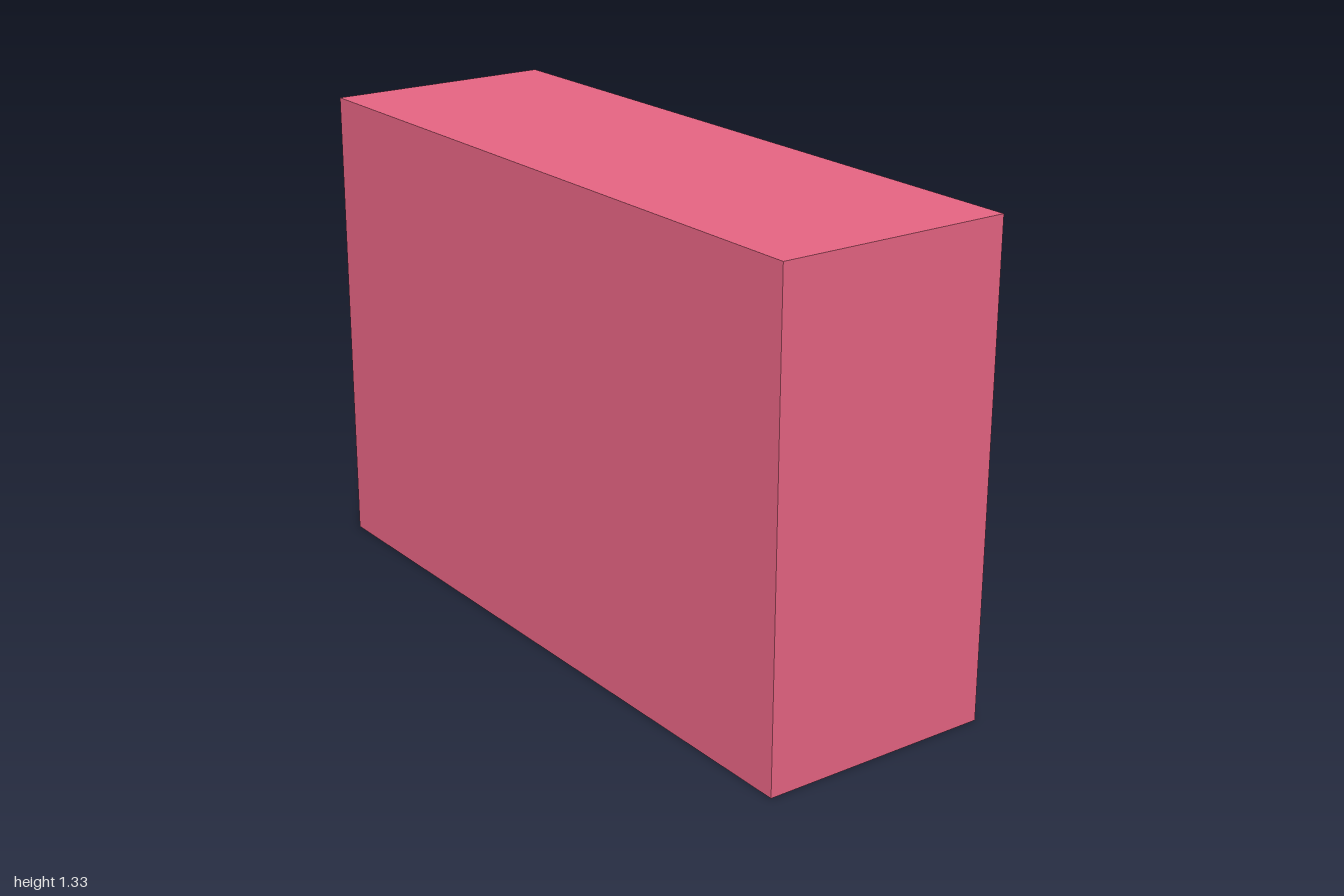
import * as THREE from 'three';

const H = 1.333, BACK = -0.335, CORE = 0.303, RECESS = 0.309, FACE = 0.33, FRONT = 0.335;
const WIN_W = 0.445, WIN_H = 0.3, FLOOR = H / 4;
const DOOR_W = 0.35, DOOR_H = 0.282;

const material = (color) => new THREE.MeshStandardMaterial({ color, flatShading: true });

// Rectangle outline, centred on u, standing on y
function rect(target, u, y, w, h) {
  target.moveTo(u - w / 2, y);
  target.lineTo(u + w / 2, y);
  target.lineTo(u + w / 2, y + h);
  target.lineTo(u - w / 2, y + h);
  target.closePath();
  return target;
}

// Slab drawn in the facade plane and extruded along x from x0 to x1
function slab(name, shape, x0, x1, mat) {
  const geo = new THREE.ExtrudeGeometry(shape, { depth: x1 - x0, bevelEnabled: false });
  geo.rotateY(Math.PI / 2).translate(x0, 0, 0);
  const mesh = new THREE.Mesh(geo, mat);
  mesh.name = name;
  return mesh;
}

export function createModel() {
  const model = new THREE.Group();
  model.name = 'building';
  const wall = material(0xe56482), glass = material(0xcccccc);
  const frameMat = material(0x8282ee), doorMat = material(0xe5c84d);

  // Solid block behind the facade
  model.add(slab('body', rect(new THREE.Shape(), 0, 0, 2, H), BACK, CORE, wall));

  // Facade with window and door openings
  const facade = rect(new THREE.Shape(), 0, 0, 2, H);
  const panes = new THREE.Group();
  panes.name = 'windows';
  for (let row = 0; row < 4; row++) {
    for (let col = 0; col < 4; col++) {
      if (row === 0 && (col === 1 || col === 2)) continue; // entrance bay
      const u = -0.75 + col * 0.5, y = row * FLOOR + 0.019;
      facade.holes.push(rect(new THREE.Path(), u, y, WIN_W, WIN_H));
      panes.add(slab('windowPane', rect(new THREE.Shape(), u, y, WIN_W, WIN_H), CORE, RECESS, glass));
    }
  }
  facade.holes.push(rect(new THREE.Path(), 0, 0.002, DOOR_W, DOOR_H - 0.002));
  model.add(slab('facade', facade, CORE, FACE, wall), panes);

  // Door set back in its opening
  model.add(slab('door', rect(new THREE.Shape(), 0, 0.002, DOOR_W, DOOR_H - 0.002), CORE, RECESS, doorMat));

  // Door frame: an upside-down U standing proud of the facade and lining the opening
  const a = 0.197, b = DOOR_W / 2 - 0.001, top = 0.296, inner = DOOR_H - 0.001;
  const frame = new THREE.Shape([
    [-a, 0], [-b, 0], [-b, inner], [b, inner], [b, 0], [a, 0], [a, top], [-a, top],
  ].map(([u, y]) => new THREE.Vector2(u, y)));
  model.add(slab('doorFrame', frame, RECESS, FRONT, frameMat));

  return model;
}
